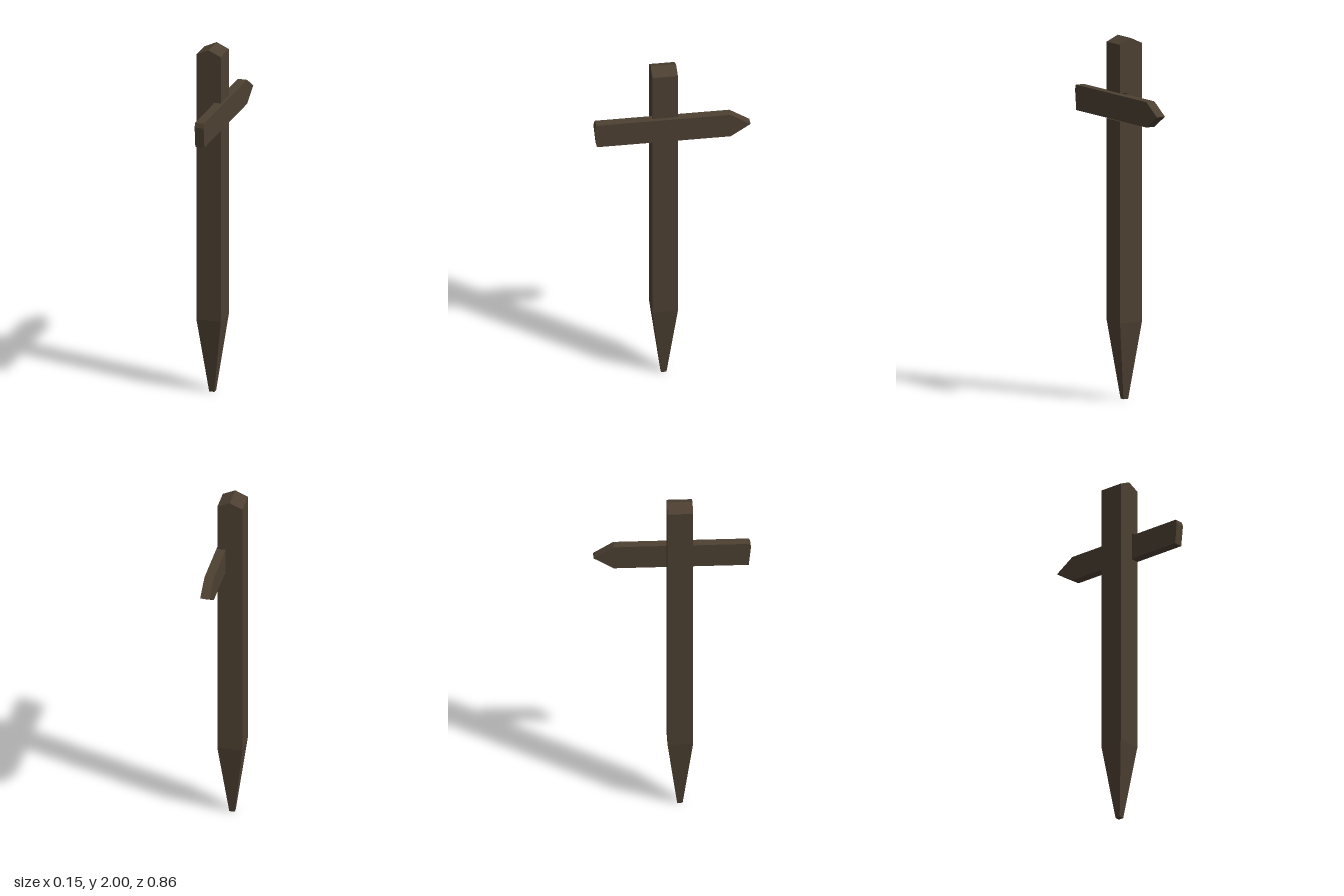
import * as THREE from 'three';

// Extrudes a closed outline along +z
function slab(points, depth) {
  const shape = new THREE.Shape(points.map(([x, y]) => new THREE.Vector2(x, y)));
  return new THREE.ExtrudeGeometry(shape, { depth, bevelEnabled: false });
}

export function createModel() {
  const model = new THREE.Group();
  const wood = new THREE.MeshStandardMaterial({ color: 0x4d4032, flatShading: true });
  const add = (name, geometry, parent) => {
    const mesh = new THREE.Mesh(geometry, wood);
    mesh.name = name;
    parent.add(mesh);
    return mesh;
  };

  // Square post, centred slightly off the origin to balance the board
  const half = 0.07, tipHalf = 0.015, taperY = 0.43;
  const post = new THREE.Group();
  post.name = 'post';
  post.position.set(-0.005, 0, 0.04);
  model.add(post);

  // Shaft with a gabled top and a notch cut into its left side
  const shaft = slab([
    [-half, taperY], [half, taperY],
    [half, 1.545], [0.025, 1.545], [0.025, 1.7], [half, 1.7],
    [half, 1.968], [0, 2], [-half, 1.968],
  ], half * 2);
  shaft.translate(0, 0, -half);
  add('postShaft', shaft, post);

  // Sharpened foot
  const foot = new THREE.CylinderGeometry(half * Math.SQRT2, tipHalf * Math.SQRT2, taperY, 4);
  foot.rotateY(Math.PI / 4);
  foot.translate(0, taperY / 2, 0);
  add('postPoint', foot, post);

  // Arrow board set in the notch, pointing to the back
  const board = slab([
    [-0.418, 1.55], [0.32, 1.55], [0.43, 1.62], [0.32, 1.69],
    [-0.422, 1.69], [-0.43, 1.665],
  ], 0.052);
  board.rotateY(Math.PI / 2);
  board.translate(0.021, 0, 0);
  add('arrowBoard', board, model);

  return model;
}
